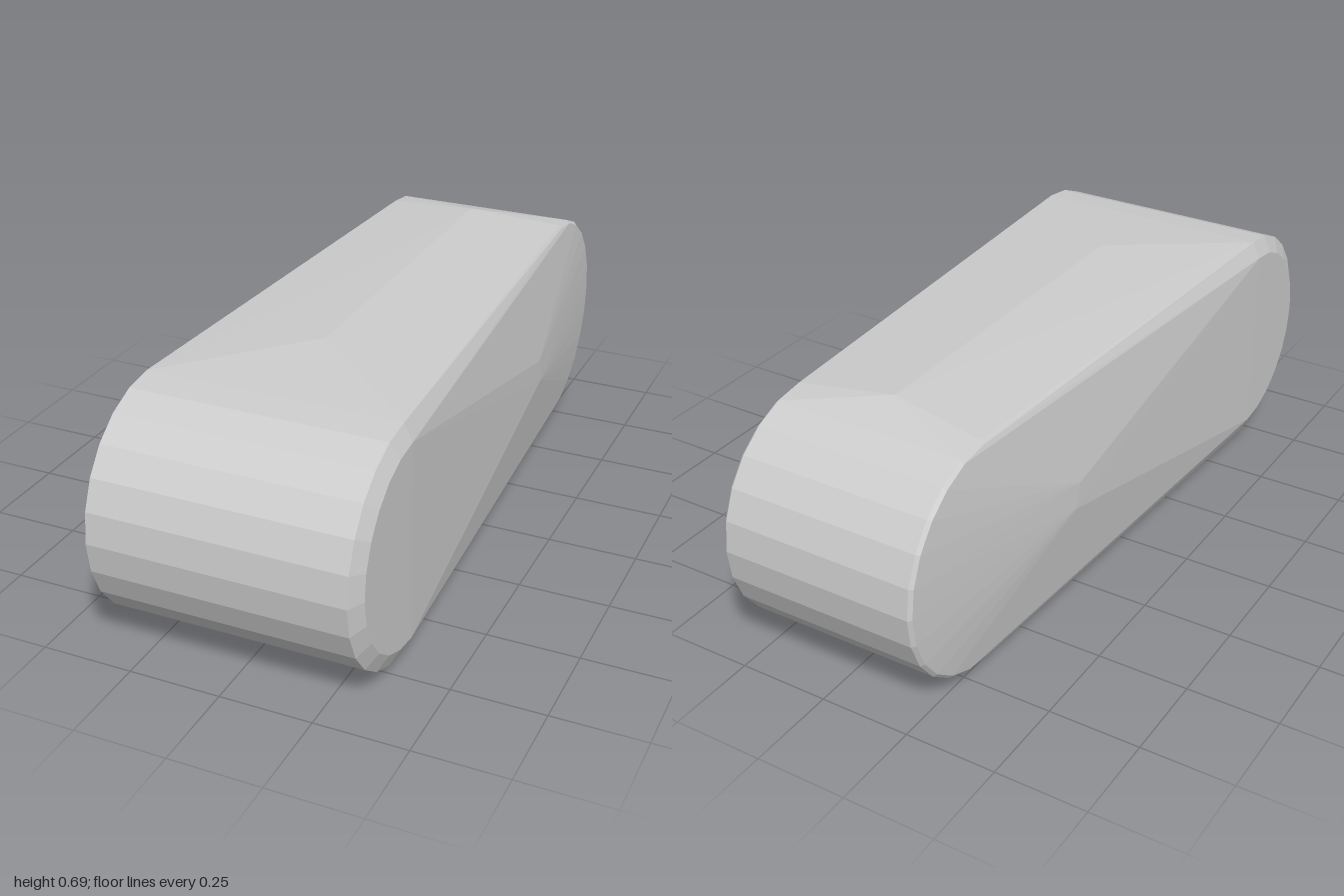
import * as THREE from 'three';
import { ConvexGeometry } from 'three/addons/geometries/ConvexGeometry.js';

const MID = 0.345; // height of the centre line

// Half-round rim at one end; dir is +1 for the front, -1 for the back
function addRim(points, x, radius, centreZ, dir) {
  const steps = 12;
  for (let i = 0; i <= steps; i++) {
    const a = -Math.PI / 2 + (i / steps) * Math.PI;
    points.push(new THREE.Vector3(x, MID + radius * Math.sin(a), centreZ + dir * radius * Math.cos(a)));
  }
}

export function createModel() {
  const group = new THREE.Group();
  group.name = 'roundedBlock';
  const points = [];

  for (const side of [-1, 1]) {
    // Wide front end with a chamfered rim
    addRim(points, side * 0.345, 0.321, 0.68, 1);
    addRim(points, side * 0.368, 0.275, 0.68, 1);
    // Narrow back end with a very small chamfer
    addRim(points, side * 0.268, 0.32, -0.68, -1);
    addRim(points, side * 0.277, 0.311, -0.68, -1);
    // Slight bulge in each flank
    points.push(new THREE.Vector3(side * 0.341, 0.31, -0.35));
    points.push(new THREE.Vector3(side * 0.341, 0.38, -0.33));
  }

  // Shallow ridges along the top and the bottom
  points.push(new THREE.Vector3(0, 0.691, 0.38), new THREE.Vector3(0, 0.691, -0.645));
  points.push(new THREE.Vector3(0, 0, 0.1), new THREE.Vector3(0, 0, -0.645));

  const body = new THREE.Mesh(
    new ConvexGeometry(points),
    new THREE.MeshStandardMaterial({ color: 0xcccccc, flatShading: true })
  );
  body.name = 'body';
  group.add(body);
  return group;
}
